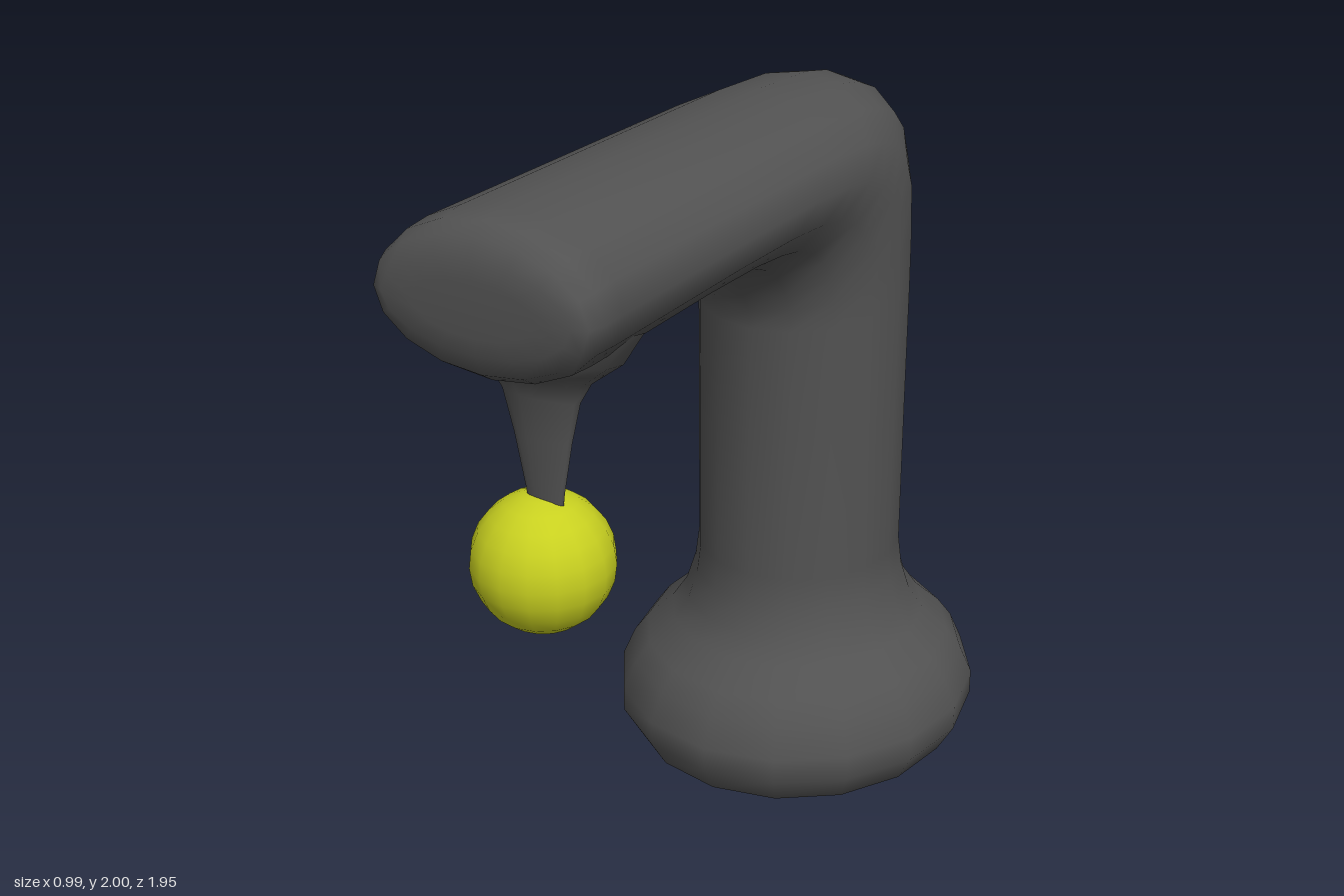
import * as THREE from 'three';

const SIDES = 16;

// Skin elliptical rings. Each ring: [outer z, outer y, inner z, inner y, half width in x]
function loft(rings, cx = 0) {
  const pos = [], index = [];
  for (const [oz, oy, iz, iy, w] of rings) {
    const cz = (oz + iz) / 2, cy = (oy + iy) / 2;
    for (let j = 0; j < SIDES; j++) {
      const t = (j / SIDES) * Math.PI * 2, c = Math.cos(t);
      pos.push(cx + Math.sin(t) * w, cy + c * (oy - cy), cz + c * (oz - cz));
    }
  }
  for (let i = 0; i < rings.length - 1; i++) {
    for (let j = 0; j < SIDES; j++) {
      const k = (j + 1) % SIDES;
      const a = i * SIDES + j, b = i * SIDES + k, c = a + SIDES, d = b + SIDES;
      index.push(a, c, b, b, c, d);
    }
  }
  const g = new THREE.BufferGeometry();
  g.setAttribute('position', new THREE.Float32BufferAttribute(pos, 3));
  g.setIndex(index);
  g.computeVertexNormals();
  return g;
}

// Level ring around z = cz
const level = (y, hx, hz, cz) => [cz - hz, y, cz + hz, y, hx];

export function createModel() {
  const group = new THREE.Group();
  const dark = new THREE.MeshStandardMaterial({ color: 0x525252 });
  const yellow = new THREE.MeshStandardMaterial({ color: 0xc8d020 });
  const add = (name, geometry, material) => {
    const mesh = new THREE.Mesh(geometry, material);
    mesh.name = name;
    group.add(mesh);
    return mesh;
  };

  // Bulbous base flowing into the upright column: [radius, y]
  const base = [
    [0, 0], [0.2, 0.02], [0.35, 0.06], [0.45, 0.13], [0.495, 0.21], [0.495, 0.28],
    [0.46, 0.36], [0.42, 0.415], [0.35, 0.48], [0.31, 0.54], [0.285, 0.62], [0.275, 0.7], [0.274, 1.1],
  ].map(([r, y]) => level(y, r, r * 1.06, -0.445));

  // Bend at the top, then the forward arm with a rounded blunt end
  const arm = [
    [-0.735, 1.45, -0.155, 1.4, 0.274],
    [-0.735, 1.65, -0.145, 1.45, 0.274],
    [-0.73, 1.8, -0.12, 1.5, 0.274],
    [-0.7, 1.88, -0.08, 1.555, 0.274],
    [-0.64, 1.937, -0.03, 1.59, 0.274],
    [-0.55, 1.97, 0.05, 1.62, 0.274],
    [-0.44, 1.99, 0.12, 1.632, 0.274],
    [-0.2, 2, 0.22, 1.642, 0.274],
    [0.2, 2, 0.4, 1.647, 0.274],
    [0.85, 2, 0.85, 1.645, 0.275],
    [0.92, 1.99, 0.92, 1.652, 0.274],
    [0.955, 1.965, 0.955, 1.675, 0.262],
    [0.972, 1.92, 0.972, 1.72, 0.23],
    [0.976, 1.88, 0.976, 1.76, 0.15],
    [0.976, 1.82, 0.976, 1.82, 0],
  ];
  add('body', loft([...base, ...arm]), dark);

  // Thin flat stem flaring into the underside of the arm: [y, half x, half z]
  const stem = [
    [1.28, 0.045, 0.015], [1.32, 0.05, 0.017], [1.45, 0.075, 0.023], [1.55, 0.1, 0.032],
    [1.6, 0.13, 0.05], [1.63, 0.17, 0.08], [1.66, 0.21, 0.11], [1.74, 0.262, 0.13],
  ].map(([y, hx, hz]) => level(y, hx, hz, 0.735));
  add('stem', loft(stem, -0.013), dark);

  // Hanging ball
  const ball = add('ball', new THREE.SphereGeometry(0.166, 16, 12), yellow);
  ball.position.set(-0.03, 1.145, 0.73);

  return group;
}
